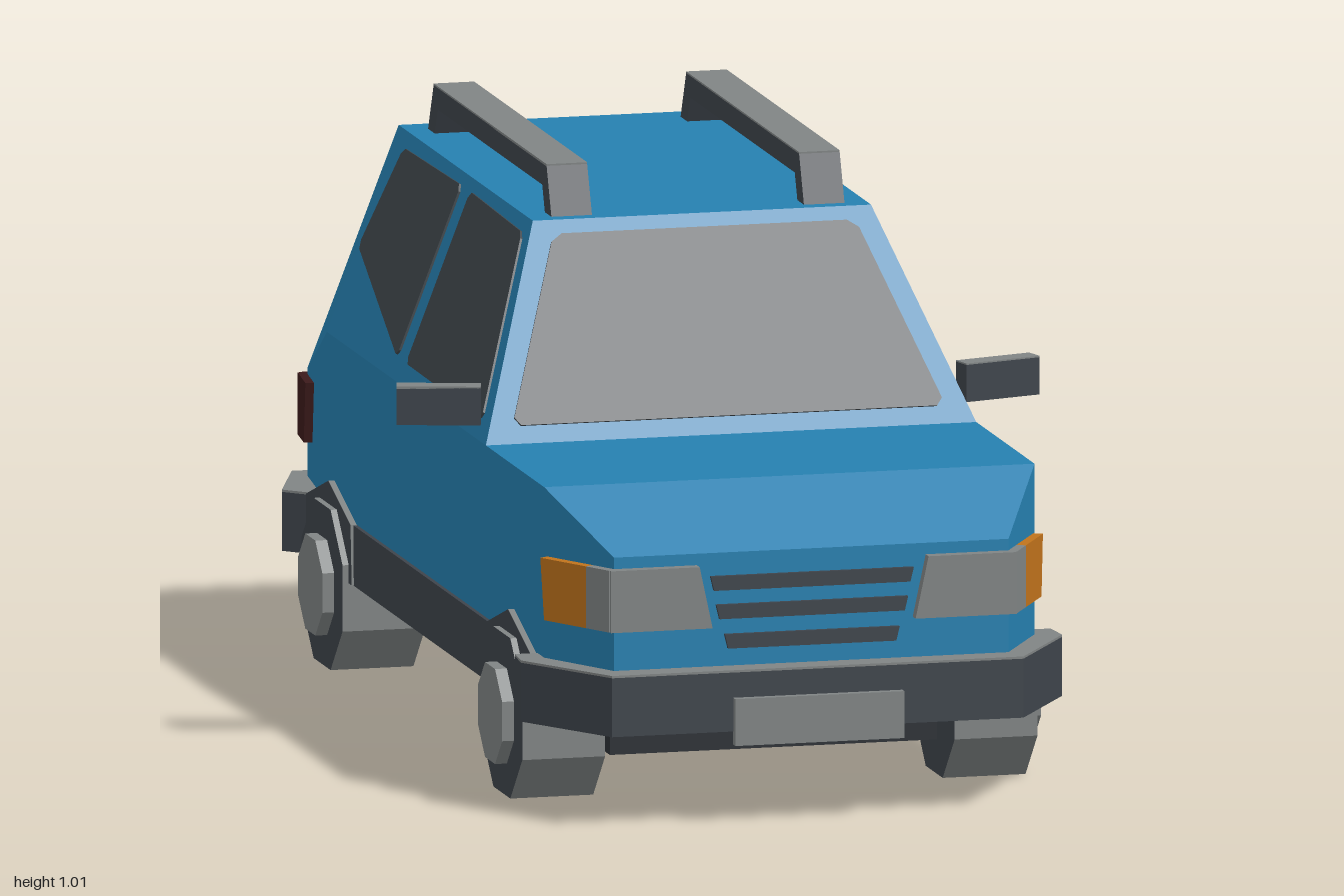
import * as THREE from 'three';

const mat = (name, color, extra = {}) => {
  const m = new THREE.MeshStandardMaterial({ color, ...extra });
  m.name = name;
  return m;
};
const V = (x, y, z) => new THREE.Vector3(x, y, z);
const CENTRE = V(0, 0.45, 0);

// Outward unit normal of a flat polygon
function outward(pts) {
  const n = V(0, 0, 0), c = V(0, 0, 0);
  pts.forEach((p, i) => {
    n.add(p.clone().cross(pts[(i + 1) % pts.length]));
    c.addScaledVector(p, 1 / pts.length);
  });
  const flip = n.dot(c.sub(CENTRE)) < 0;
  return { n: n.normalize().multiplyScalar(flip ? -1 : 1), flip };
}

// Adds a convex polygon as a fan, facing outward
function addFace(out, pts) {
  const p = outward(pts).flip ? [...pts].reverse() : pts;
  for (let i = 1; i < p.length - 1; i++) {
    const t = [p[0], p[i], p[i + 1]];
    const area = t[1].clone().sub(t[0]).cross(t[2].clone().sub(t[0])).length();
    if (area > 1e-6) t.forEach((v) => out.push(v.x, v.y, v.z));
  }
}

function geometryFrom(out) {
  const g = new THREE.BufferGeometry();
  g.setAttribute('position', new THREE.Float32BufferAttribute(out, 3));
  g.computeVertexNormals();
  return g;
}

// Cuts the corners of a polygon
function clipCorners(pts, d) {
  return pts.flatMap((p, i) => {
    const a = pts[(i + pts.length - 1) % pts.length], b = pts[(i + 1) % pts.length];
    return [a, b].map((q) => p.clone().add(q.clone().sub(p).setLength(d)));
  });
}

// Thin plate raised from a surface polygon
function plateGeometry(pts, thick) {
  const { n, flip } = outward(pts);
  const base = flip ? [...pts].reverse() : pts;
  const top = base.map((p) => p.clone().addScaledVector(n, thick));
  const out = [];
  addFace(out, top);
  base.forEach((p, i) => {
    const j = (i + 1) % base.length;
    [p, base[j], top[j], p, top[j], top[i]].forEach((v) => out.push(v.x, v.y, v.z));
  });
  return geometryFrom(out);
}

export function createModel() {
  const paint = mat('bluePaint', 0x2680b0);
  const dark = mat('darkPlastic', 0x3e444b);
  const light = mat('lightGrey', 0x808484);
  const glass = mat('glass', 0x41484d);
  const amber = mat('amber', 0xc0731c);
  const red = mat('darkRed', 0x3c1a1b);
  const under = mat('underbody', 0x2b3035);

  const car = new THREE.Group();
  car.name = 'car';
  const add = (name, geo, m) => {
    const mesh = new THREE.Mesh(geo, m);
    mesh.name = name;
    car.add(mesh);
    return mesh;
  };
  const box = (name, m, w, h, d, x, y, z) => {
    const b = add(name, new THREE.BoxGeometry(w, h, d), m);
    b.position.set(x, y, z);
    return b;
  };
  const plate = (name, m, pts, thick = 0.004) => add(name, plateGeometry(pts, thick), m);

  // Body shell: rings of bottom, belt and top points from nose to tail
  const rings = [
    [[0.35, 0.27, 0.94], [0.35, 0.47, 0.94], [0.35, 0.47, 0.94]],
    [[0.435, 0.27, 0.79], [0.435, 0.57, 0.79], [0.435, 0.57, 0.79]],
    [[0.435, 0.27, 0.39], [0.435, 0.57, 0.39], [0.435, 0.57, 0.39]],
    [[0.435, 0.27, 0.19], [0.435, 0.57, 0.19], [0.3, 0.92, 0.19]],
    [[0.435, 0.27, -0.7], [0.435, 0.57, -0.7], [0.3, 0.92, -0.73]],
    [[0.405, 0.27, -0.95], [0.405, 0.46, -0.95], [0.405, 0.46, -0.95]],
  ];
  const at = (i, k, s) => V(s * rings[i][k][0], rings[i][k][1], rings[i][k][2]);
  const shell = [];
  for (let i = 0; i < rings.length - 1; i++) {
    for (const s of [1, -1])
      for (const k of [0, 1])
        addFace(shell, [at(i, k, s), at(i, k + 1, s), at(i + 1, k + 1, s), at(i + 1, k, s)]);
    for (const k of [0, 2])
      addFace(shell, [at(i, k, 1), at(i, k, -1), at(i + 1, k, -1), at(i + 1, k, 1)]);
  }
  for (const i of [0, 5]) addFace(shell, [at(i, 0, 1), at(i, 0, -1), at(i, 1, -1), at(i, 1, 1)]);
  add('body', geometryFrom(shell), paint);

  // Windscreen and rear window lie on the sloping ends
  const screenZ = (y) => 0.39 - ((y - 0.57) / 0.35) * 0.2;
  const tailZ = (y) => -0.95 + ((y - 0.46) / 0.46) * 0.22;
  const band = (zOf, y0, w0, y1, w1) =>
    [[-w0, y0], [w0, y0], [w1, y1], [-w1, y1]].map(([x, y]) => V(x, y, zOf(y)));
  plate('windscreen', glass, clipCorners(band(screenZ, 0.598, 0.384, 0.897, 0.268), 0.015));
  plate('rearWindow', glass, clipCorners(band(tailZ, 0.725, 0.285, 0.88, 0.262), 0.02));

  // Grille slats and number plates
  [[0.43, 0.18], [0.38, 0.17], [0.328, 0.155]].forEach(([y, w]) =>
    plate('grilleSlat', dark, band(() => 0.94, y - 0.025, w - 0.006, y, w), 0.008));
  box('frontPlate', light, 0.3, 0.082, 0.016, 0, 0.183, 0.991);
  box('rearPlate', light, 0.32, 0.065, 0.012, 0, 0.345, -0.954);

  const noseX = (z) => 0.35 + ((0.94 - z) / 0.15) * 0.085;
  const tailX = (z) => 0.405 + ((z + 0.95) / 0.25) * 0.03;
  for (const s of [1, -1]) {
    // Side windows follow the lean of the cabin
    const side = (pts) => pts.map(([z, y]) => V(s * (0.435 - ((y - 0.57) / 0.35) * 0.135), y, z));
    plate('frontSideWindow', glass,
      clipCorners(side([[0.325, 0.603], [0.165, 0.895], [-0.197, 0.9], [-0.197, 0.605]]), 0.012));
    plate('rearSideWindow', glass,
      clipCorners(side([[-0.26, 0.605], [-0.26, 0.9], [-0.645, 0.895], [-0.692, 0.718]]), 0.012));

    // Lamps wrap around the corners
    const lampSide = (xOf, z0, z1, z2, z3) => [
      V(s * xOf(z0), 0.342, z0), V(s * xOf(z1), 0.342, z1),
      V(s * xOf(z2), 0.45, z2), V(s * xOf(z3), 0.45, z3)];
    plate('headlamp', light, [V(s * 0.18, 0.342, 0.94), V(s * 0.36, 0.342, 0.94),
      V(s * 0.36, 0.45, 0.94), V(s * 0.203, 0.45, 0.94)], 0.02);
    plate('headlampCorner', light, lampSide(noseX, 0.945, 0.895, 0.895, 0.945), 0.017);
    plate('indicator', amber, lampSide(noseX, 0.895, 0.805, 0.797, 0.895), 0.017);
    plate('tailLamp', red, [V(s * 0.25, 0.342, -0.95), V(s * 0.415, 0.342, -0.95),
      V(s * 0.415, 0.45, -0.95), V(s * 0.24, 0.45, -0.95)], 0.02);
    plate('tailLampSide', red, lampSide(tailX, -0.965, -0.885, -0.865, -0.965), 0.015);

    // Door mirror with pale top
    const mirror = new THREE.Group();
    mirror.name = 'mirror';
    const shellMesh = new THREE.Mesh(new THREE.BoxGeometry(0.145, 0.065, 0.036), dark);
    shellMesh.name = 'mirrorShell';
    const cap = new THREE.Mesh(new THREE.BoxGeometry(0.145, 0.004, 0.036), light);
    cap.name = 'mirrorCap';
    cap.position.y = 0.033;
    mirror.add(shellMesh, cap);
    mirror.position.set(s * 0.496, 0.628, 0.302);
    mirror.rotation.y = s * 0.27;
    car.add(mirror);

    // Roof rail
    const rail = new THREE.Shape([[0.165, 0.915], [0.13, 1.003], [-0.645, 1.003], [-0.685, 0.915],
      [-0.64, 0.915], [-0.615, 0.965], [0.1, 0.965], [0.12, 0.915]]
      .map(([z, y]) => new THREE.Vector2(-z, y)));
    const railGeo = new THREE.ExtrudeGeometry(rail, { depth: 0.072, bevelEnabled: false });
    railGeo.translate(0, 0, -0.036).rotateY(Math.PI / 2);
    add('roofRail', railGeo, dark).position.x = s * 0.224;
    box('roofRailTop', light, 0.072, 0.004, 0.775, s * 0.224, 1.004, -0.2575);
  }

  // Bumpers with pale upper faces, drawn in plan
  const bumper = (name, half) => {
    const pts = [...half, ...half.map(([x, z]) => [-x, z]).reverse()];
    const shape = new THREE.Shape(pts.map(([x, z]) => new THREE.Vector2(x, z)));
    const slab = (part, depth, top, m) => {
      const g = new THREE.ExtrudeGeometry(shape, { depth, bevelEnabled: false });
      add(part, g.rotateX(Math.PI / 2).translate(0, top, 0), m);
    };
    slab(name, 0.103, 0.268, dark);
    slab(name + 'Top', 0.004, 0.272, light);
  };
  bumper('frontBumper', [[0.365, 0.985], [0.48, 0.805], [0.475, 0.745]]);
  bumper('rearBumper', [[0.42, -1], [0.48, -0.835], [0.44, -0.795]]);

  // Sills and floor
  box('sills', dark, 0.884, 0.105, 0.92, 0, 0.2175, -0.032);
  box('floor', under, 0.86, 0.006, 0.92, 0, 0.163, -0.032);

  // Wheels, arches and axles
  const octagon = (apothem, width) =>
    new THREE.CylinderGeometry(apothem / Math.cos(Math.PI / 8), apothem / Math.cos(Math.PI / 8),
      width, 8, 1, false, Math.PI / 8).toNonIndexed().rotateZ(Math.PI / 2);
  const wheelPart = (name, geo, m, x, z) => {
    const groups = geo.groups.slice();
    geo.computeVertexNormals();
    geo.groups = groups;
    add(name, geo, m).position.set(x, 0.14, z);
  };
  for (const z of [0.585, -0.648]) {
    const arch = new THREE.Shape([[-0.16, 0.166], [-0.152, 0.27], [0, 0.32], [0.152, 0.27], [0.16, 0.166]]
      .map(([a, y]) => new THREE.Vector2(a, y)));
    const archGeo = new THREE.ExtrudeGeometry(arch, { depth: 0.892, bevelEnabled: false });
    archGeo.translate(0, 0, -0.446).rotateY(Math.PI / 2);
    add('wheelArch', archGeo, [dark, light]).position.z = z;
    box('archUnderside', under, 0.87, 0.006, 0.32, 0, 0.165, z);
    box('axle', under, 0.58, 0.12, 0.19, 0, 0.135, z);
    for (const s of [1, -1]) {
      wheelPart('tyre', octagon(0.14, 0.147), [light, dark, dark], s * 0.3835, z);
      wheelPart('hubcap', octagon(0.083, 0.04), light, s * 0.458, z);
    }
  }
  return car;
}
